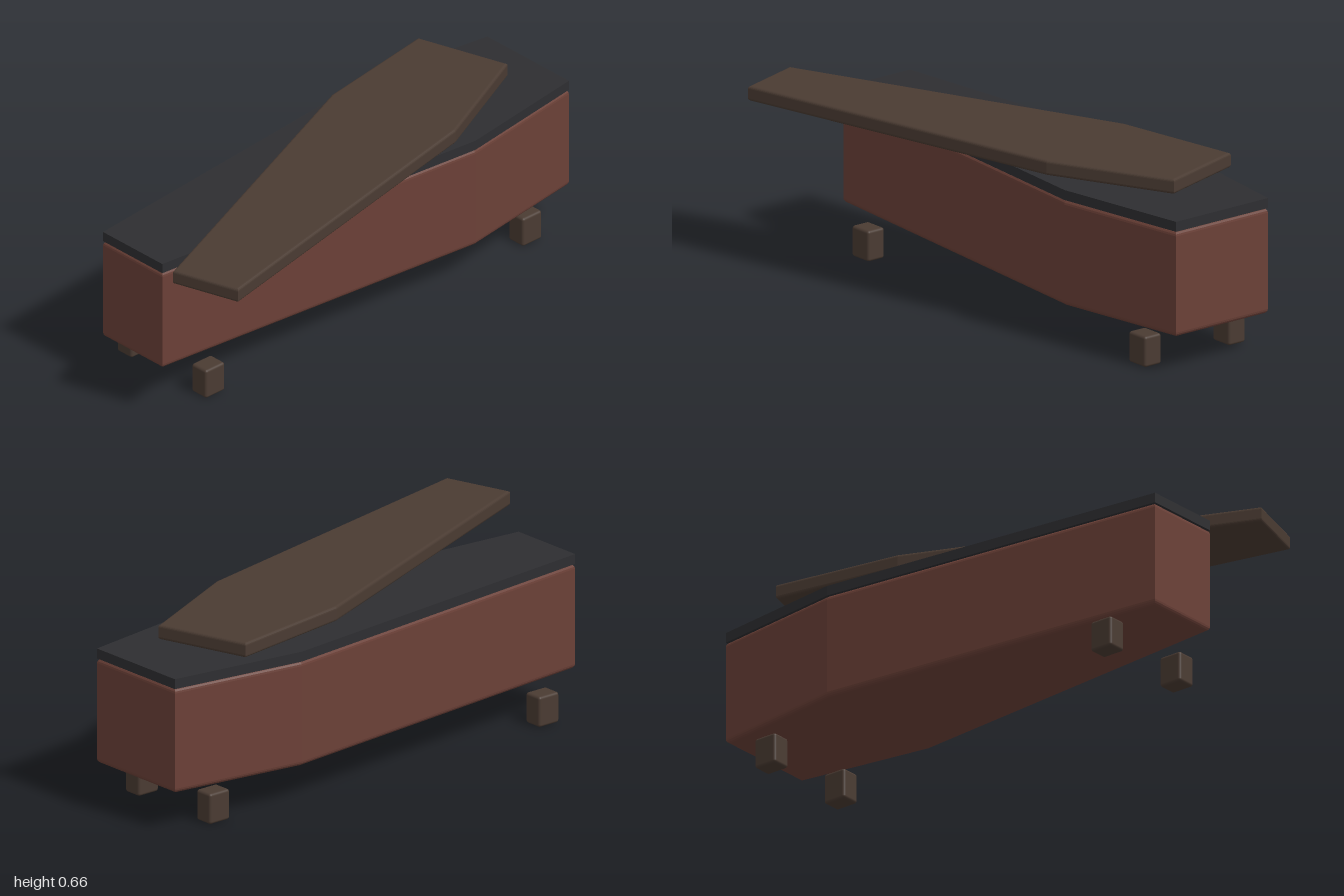
import * as THREE from 'three';
import { RoundedBoxGeometry } from 'three/addons/geometries/RoundedBoxGeometry.js';

const material = (color) => new THREE.MeshStandardMaterial({ color });

// Six-sided slab: half widths at head, shoulder and foot, at the given z positions
function hexSlab(name, widths, zs, height, bevel, mat) {
  const [head, shoulder, foot] = widths;
  const [zHead, zShoulder, zFoot] = zs;
  const shape = new THREE.Shape([
    [-foot, -zFoot], [foot, -zFoot], [shoulder, -zShoulder],
    [head, -zHead], [-head, -zHead], [-shoulder, -zShoulder],
  ].map(([x, y]) => new THREE.Vector2(x, y)));
  const geometry = new THREE.ExtrudeGeometry(shape, {
    depth: height - 2 * bevel,
    bevelEnabled: bevel > 0,
    bevelThickness: bevel,
    bevelSize: bevel,
    bevelOffset: -bevel,
    bevelSegments: 4,
  });
  geometry.rotateX(-Math.PI / 2).translate(0, bevel, 0);
  const mesh = new THREE.Mesh(geometry, mat);
  mesh.name = name;
  return mesh;
}

export function createModel() {
  const model = new THREE.Group();
  model.name = 'coffin';
  const redWood = material(0x6b4037);
  const darkWood = material(0x4a3b32);
  const lining = material(0x2e2e31);

  // Body and the dark slab lying on it
  const centreX = -0.142;
  const widths = [0.208, 0.284, 0.151];
  const zs = [-1, -0.48, 0.895];
  const body = hexSlab('body', widths, zs, 0.39, 0.018, redWood);
  body.position.set(centreX, 0.145, 0);
  const top = hexSlab('liningTop', widths, zs, 0.037, 0, lining);
  top.position.set(centreX, 0.534, 0);
  model.add(body, top);

  // Lid, turned aside and hovering above the body
  const lid = hexSlab('lid', [0.18, 0.249, 0.131], [-0.907, -0.419, 0.907], 0.055, 0.01, darkWood);
  lid.position.set(0.029, 0.6, 0.09);
  lid.rotation.y = THREE.MathUtils.degToRad(17.06);
  model.add(lid);

  // Four feet
  const footGeometry = new RoundedBoxGeometry(0.075, 0.113, 0.092, 3, 0.01);
  for (const [end, z] of [['front', 0.711], ['back', -0.808]]) {
    for (const [side, dx] of [['Right', -1], ['Left', 1]]) {
      const foot = new THREE.Mesh(footGeometry, darkWood);
      foot.name = `${end}${side}Foot`;
      foot.position.set(centreX + dx * 0.19, 0.0565, z);
      model.add(foot);
    }
  }
  return model;
}
